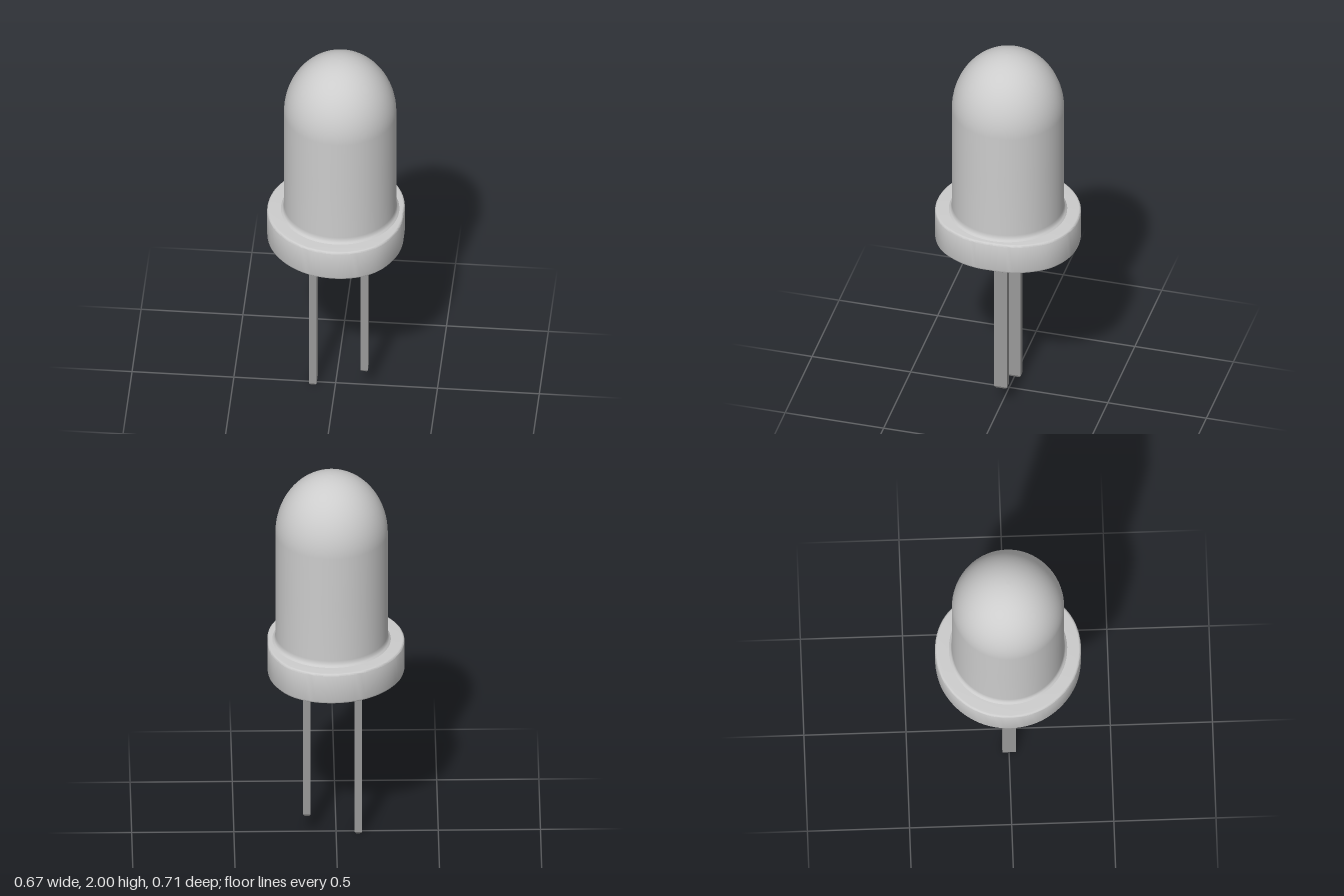
import * as THREE from 'three';
import { toCreasedNormals, mergeVertices } from 'three/addons/utils/BufferGeometryUtils.js';

const AXIS_X = 0.022; // the lens axis sits slightly off centre

export function createModel() {
  const model = new THREE.Group();
  model.name = 'lightEmittingDiode';
  const lensGrey = new THREE.MeshStandardMaterial({ color: 0xcccccc });
  lensGrey.name = 'lens grey';
  const metalGrey = new THREE.MeshStandardMaterial({ color: 0x999999 });
  metalGrey.name = 'metal grey';

  const add = (name, geometry, material) => {
    const mesh = new THREE.Mesh(geometry, material);
    mesh.name = name;
    model.add(mesh);
    return mesh;
  };

  // Lens: small base fillet, straight wall, elliptical dome
  const profile = [[0.297, 1.07], [0.29, 1.08], [0.282, 1.086], [0.277, 1.096], [0.275, 1.11], [0.275, 1.4]]
    .map(([r, y]) => new THREE.Vector2(r, y));
  const steps = 20;
  for (let i = 0; i <= steps; i++) {
    const a = (i / steps) * Math.PI / 2;
    profile.push(new THREE.Vector2(i === steps ? 0 : 0.275 * Math.cos(a), 1.68 + 0.32 * Math.sin(a)));
  }
  add('lens', new THREE.LatheGeometry(profile, 64), lensGrey).position.x = AXIS_X;

  // Flange: round rim with one softened flat on +x
  const half = [[0.335, 0], [0.332, 0.08], [0.307, 0.17], [0.24, 0.274], [0.145, 0.335], [0.022, 0.357],
    [-0.115, 0.33], [-0.23, 0.252], [-0.308, 0.137], [-0.335, 0]];
  const outline = [...half, ...half.slice(1, -1).reverse().map(([x, z]) => [x, -z])]
    .map(([x, z]) => new THREE.Vector3(x, z, 0));
  const rim = new THREE.CatmullRomCurve3(outline, true).getPoints(96).slice(0, -1);
  const bevel = 0.01;
  const flange = new THREE.ExtrudeGeometry(new THREE.Shape(rim.map((p) => new THREE.Vector2(p.x, p.y))), {
    depth: 0.165 - 2 * bevel, bevelEnabled: true, bevelSize: bevel, bevelThickness: bevel,
    bevelOffset: -bevel, bevelSegments: 3,
  });
  flange.rotateX(-Math.PI / 2).translate(0, 0.915 + bevel, 0);
  flange.deleteAttribute('uv');
  flange.deleteAttribute('normal');
  const smooth = mergeVertices(flange);
  smooth.computeVertexNormals();
  add('flange', toCreasedNormals(smooth, 0.7), lensGrey);

  // Leads: rectangular pins with chamfered tips
  const lead = (name, x, bottom) => {
    const top = 0.93;
    const chamfer = 0.012;
    const h = top - bottom;
    const g = new THREE.BoxGeometry(0.037, h, 0.066, 1, 2, 1);
    const p = g.attributes.position;
    for (let i = 0; i < p.count; i++) {
      if (Math.abs(p.getY(i)) < 1e-6) p.setY(i, -h / 2 + chamfer);
      else if (p.getY(i) < 0) p.setXYZ(i, p.getX(i) * 0.65, p.getY(i), p.getZ(i) * 0.75);
    }
    g.computeVertexNormals();
    add(name, toCreasedNormals(g, 0.3), metalGrey).position.set(x, bottom + h / 2, 0);
  };
  lead('longLead', -0.109, 0);
  lead('shortLead', 0.143, 0.1);

  return model;
}
